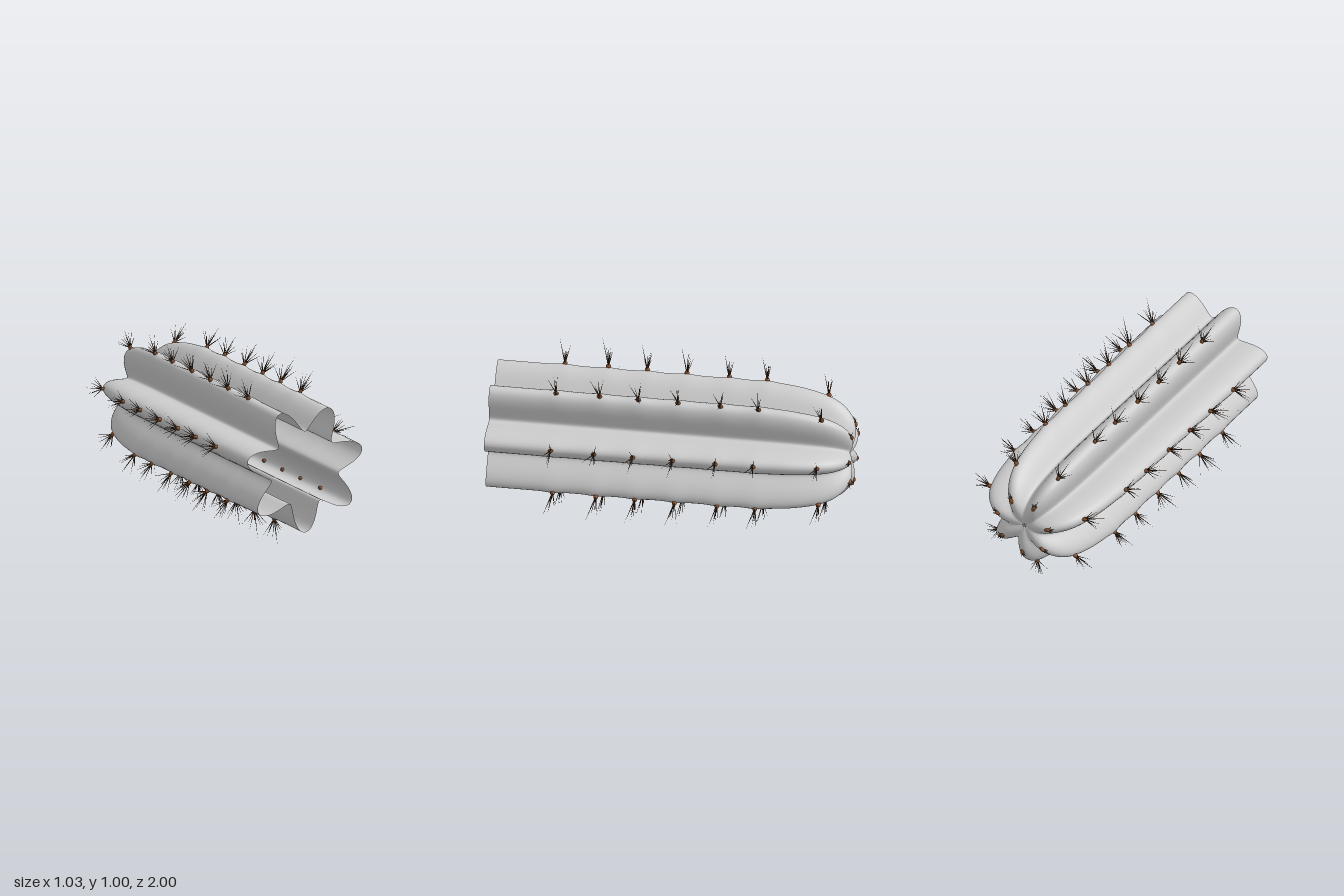
import * as THREE from 'three';
import { mergeGeometries } from 'three/addons/utils/BufferGeometryUtils.js';

const RIBS = 7, CY = 0.53, R = 0.36, VALLEY = 0.21;
const ribAngle = (k) => -Math.PI / 2 + (k * 2 * Math.PI) / RIBS;

// rows of spine cushions: [z, rib radius, spine length]
const ROWS = [
  [0.63, 0.362, 0.148], [0.39, 0.366, 0.162], [0.175, 0.364, 0.148], [-0.045, 0.364, 0.15],
  [-0.28, 0.362, 0.132], [-0.49, 0.36, 0.138], [-0.835, 0.308, 0.13], [-0.99, 0.16, 0.05],
];

// outline of a rib from the open end to the dimpled tip: (scale, z)
const profile = [
  [1, 1], [1, 0.8], [1, 0.6], [1, 0.4], [1, 0.2], [1, 0], [1, -0.2], [1, -0.4], [0.99, -0.55],
  [0.945, -0.7], [0.86, -0.83], [0.77, -0.9], [0.64, -0.955], [0.48, -0.99], [0.33, -0.998],
  [0.18, -0.99], [0.07, -0.977], [0, -0.97],
].map(([s, z]) => new THREE.Vector3(s, z, 0));

let seed = 7;
const rand = (a, b) => {
  seed = (seed * 16807) % 2147483647;
  return a + ((b - a) * seed) / 2147483647;
};

function ribbedBody() {
  const around = RIBS * 24, rows = 110, pos = [], index = [];
  const curve = new THREE.CatmullRomCurve3(profile, false, 'centripetal');
  for (let i = 0; i <= rows; i++) {
    const p = curve.getPoint(i / rows);
    const s = i === rows ? 0 : Math.max(p.x, 0);
    // slight swelling at each cushion row
    let swell = 0;
    for (const [z] of ROWS.slice(0, 6)) swell += 0.006 * Math.exp(-(((p.y - z) / 0.05) ** 2));
    for (let j = 0; j < around; j++) {
      const a = -Math.PI / 2 + (j / around) * Math.PI * 2;
      const rib = 0.5 + 0.5 * Math.cos((j / around) * Math.PI * 2 * RIBS);
      const r = s * (VALLEY + (R - VALLEY) * Math.pow(rib, 0.95)) + swell * rib;
      // valleys sink a little around the tip
      const sink = 0.08 * (1 - rib) * s * Math.max(0, 1 - s);
      pos.push(r * Math.cos(a), CY + r * Math.sin(a), p.y + sink);
      if (i < rows) {
        const n = (j + 1) % around, A = i * around, B = A + around;
        index.push(A + j, B + j, A + n);
        if (i < rows - 1) index.push(A + n, B + j, B + n);
      }
    }
  }
  const g = new THREE.BufferGeometry();
  g.setAttribute('position', new THREE.Float32BufferAttribute(pos, 3));
  g.setIndex(index);
  g.computeVertexNormals();
  return g;
}

// thin tapered needle from the origin; local y is outward
function needle(length, radius, sideways, along) {
  const dir = new THREE.Vector3(Math.sin(sideways), Math.cos(sideways), along).normalize();
  const g = new THREE.ConeGeometry(radius, length, 5, 1, true).translate(0, length / 2, 0);
  return g.applyQuaternion(new THREE.Quaternion().setFromUnitVectors(new THREE.Vector3(0, 1, 0), dir));
}

function spineCluster(length) {
  const parts = [needle(length, 0.0035, 0, 0.28)];
  const count = 8;
  for (let i = 0; i < count; i++) {
    const t = (i / (count - 1)) * 2 - 1;
    parts.push(needle(length * rand(0.55, 0.8), 0.003, t * 0.75 + rand(-0.08, 0.08), rand(-0.22, 0.22)));
  }
  return mergeGeometries(parts);
}

export function createModel() {
  const model = new THREE.Group();
  model.name = 'cactus';
  const grey = new THREE.MeshStandardMaterial({ color: 0xcccccc, side: THREE.DoubleSide });
  const brown = new THREE.MeshStandardMaterial({ color: 0x7a4520 });
  const dark = new THREE.MeshStandardMaterial({ color: 0x4a3220 });

  const body = new THREE.Mesh(ribbedBody(), grey);
  body.name = 'ribbedStem';
  model.add(body);

  // one cushion with its spines on every rib in every row
  const cushionGeo = new THREE.SphereGeometry(1, 12, 8).scale(0.011, 0.018, 0.014);
  for (let k = 0; k < RIBS; k++) {
    const rib = new THREE.Group();
    rib.name = 'ribSpines';
    rib.position.y = CY;
    rib.rotation.z = ribAngle(k) - Math.PI / 2;
    for (const [z, r, length] of ROWS) {
      const cushion = new THREE.Mesh(cushionGeo, brown);
      cushion.name = 'cushion';
      cushion.position.set(0, r + 0.003, z);
      const spines = new THREE.Mesh(spineCluster(length), dark);
      spines.name = 'spines';
      spines.position.set(0, r + 0.005, z);
      rib.add(cushion, spines);
    }
    model.add(rib);
  }
  return model;
}
